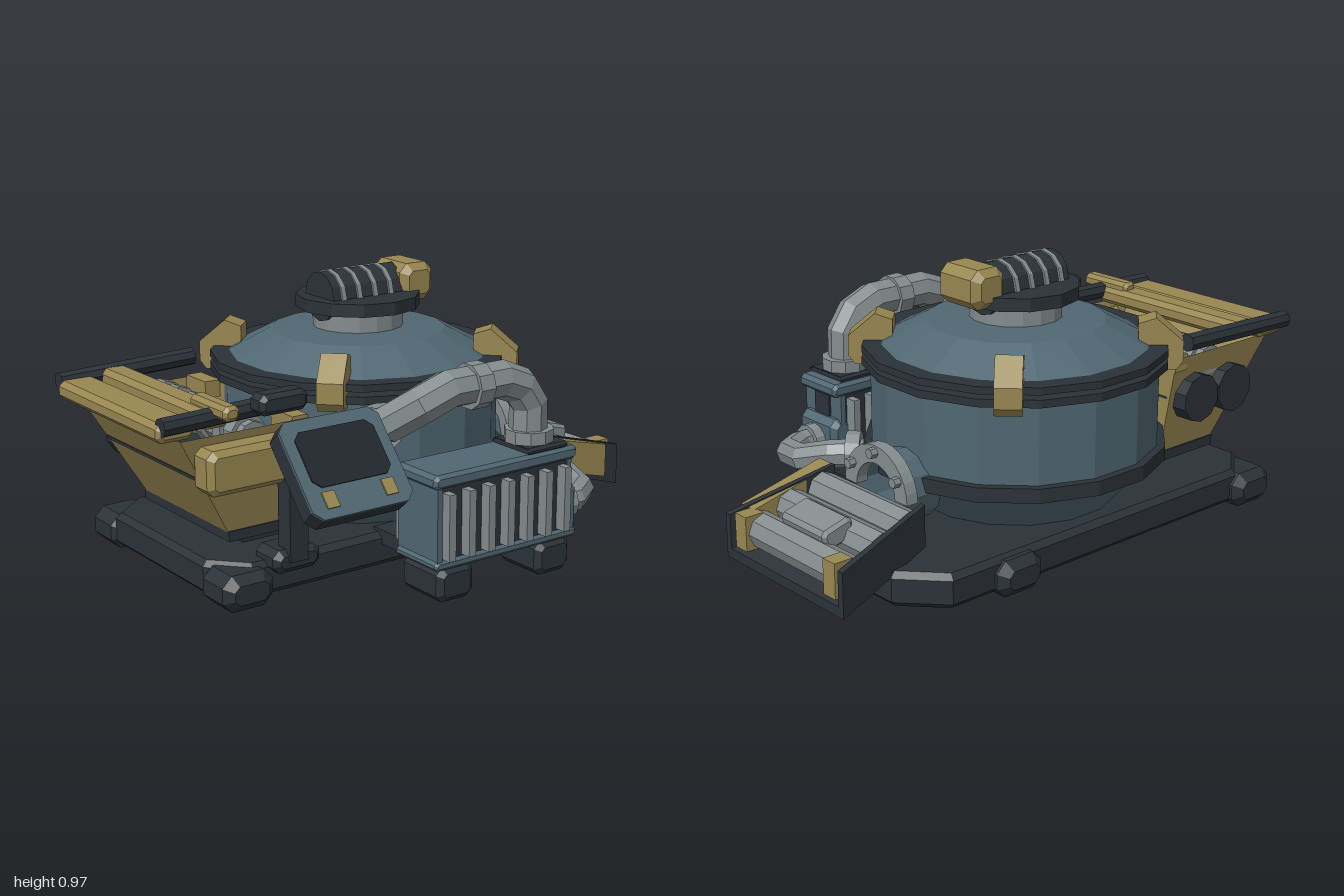
import * as THREE from 'three';

const mat = (name, color, side = THREE.FrontSide) => Object.assign(new THREE.MeshStandardMaterial({ color, side }), { name });

export function createModel() {
  const root = new THREE.Group();
  root.name = 'drillingMachine';
  const blue = mat('steelBlue', 0x506772, THREE.DoubleSide), gold = mat('ochre', 0x988751, THREE.DoubleSide),
    dark = mat('darkIron', 0x2b3238), grey = mat('pipeGrey', 0x848c8e), black = mat('screenBlack', 0x20272c);
  const CX = 0.01, CZ = -0.165; // tank axis
  const HALF = Math.PI / 2;

  // Faceted mesh
  const add = (name, geo, material, x = 0, y = 0, z = 0, parent = root) => {
    const g = geo.index ? geo.toNonIndexed() : geo;
    g.computeVertexNormals();
    const m = new THREE.Mesh(g, material);
    m.name = name;
    m.position.set(x, y, z);
    parent.add(m);
    return m;
  };
  const poly = pts => new THREE.Shape(pts.map(p => new THREE.Vector2(p[0], p[1])));
  const octagon = (a, b, k) => poly([[-a + k, -b], [a - k, -b], [a, -b + k], [a, b - k], [a - k, b], [-a + k, b], [-a, b - k], [-a, -b + k]]);
  // Box with all edges chamfered, centred
  const cbox = (w, h, d, c = 0.02) => new THREE.ExtrudeGeometry(octagon(w / 2 - c, h / 2 - c, c * 0.6),
    { depth: d - 2 * c, bevelEnabled: true, bevelSize: c, bevelThickness: c, bevelSegments: 1 }).translate(0, 0, -d / 2 + c);
  const box = (w, h, d) => new THREE.BoxGeometry(w, h, d);
  const cyl = (r, h, n = 12) => new THREE.CylinderGeometry(r, r, h, n);
  const cylX = (r, h, n) => cyl(r, h, n).rotateZ(HALF);
  const cylZ = (r, h, n) => cyl(r, h, n).rotateX(HALF);
  const lathe = (pts, n = 16) => new THREE.LatheGeometry(pts.map(p => new THREE.Vector2(p[0], p[1])), n).rotateY(Math.PI / n);
  // Segmented pipe with one ring at each point
  const tube = (pts, r) => {
    const curve = new THREE.CatmullRomCurve3(pts.map(p => new THREE.Vector3(...p)), false, 'centripetal');
    curve.getPointAt = curve.getPoint;
    curve.getTangentAt = curve.getTangent;
    return new THREE.TubeGeometry(curve, pts.length - 1, r, 8);
  };
  // Flange disc facing along a direction
  const disc = (name, r, h, material, pos, dir) => {
    const m = add(name, cyl(r, h), material, ...pos);
    m.quaternion.setFromUnitVectors(new THREE.Vector3(0, 1, 0), new THREE.Vector3(...dir).normalize());
  };

  // Base slab and feet
  const slab = poly([[-0.67, -0.57], [0.65, -0.57], [0.77, -0.44], [0.77, 0.1], [0.65, 0.23], [-0.7, 0.23], [-0.8, 0.12], [-0.8, -0.46]]);
  add('baseSlab', new THREE.ExtrudeGeometry(slab, { depth: 0.08, bevelEnabled: true, bevelSize: 0.02, bevelThickness: 0.02, bevelSegments: 1 })
    .rotateX(HALF), dark, 0, 0.12, 0);
  for (const x of [-0.74, 0.39]) for (const z of [-0.54, 0.21]) add('baseFoot', cbox(0.19, 0.125, 0.18, 0.03), dark, x, 0.0655, z);
  add('radiatorBridge', box(0.54, 0.05, 0.24), dark, 0.08, 0.125, 0.32);

  // Tank
  add('tankCone', lathe([[0, 0.13], [0.36, 0.14], [0.494, 0.29]]), blue, CX, 0, CZ);
  add('tankBody', lathe([[0.496, 0.29], [0.496, 0.62]]), blue, CX, 0, CZ);
  const ring = (name, r, y0, y1, material) =>
    add(name, lathe([[0, y0], [r, y0], [r, y1], [0, y1]]), material, CX, 0, CZ);
  ring('lowerBand', 0.525, 0.285, 0.335, dark);
  ring('lidFlangeLower', 0.525, 0.608, 0.635, dark);
  ring('lidSeal', 0.455, 0.635, 0.651, gold);
  ring('lidFlangeUpper', 0.525, 0.651, 0.676, dark);
  add('lid', lathe([[0.46, 0.675], [0.31, 0.755], [0.15, 0.765], [0, 0.765]]), blue, CX, 0, CZ);
  ring('neck', 0.16, 0.74, 0.84, grey);
  add('collar', cyl(0.22, 0.045), dark, CX, 0.855, CZ);

  // Clamps around the lid
  const clampShape = poly([[0.46, 0.59], [0.545, 0.59], [0.568, 0.62], [0.568, 0.69], [0.475, 0.77], [0.415, 0.75], [0.415, 0.7]]);
  for (let i = 0; i < 4; i++) {
    const m = add('lidClamp', new THREE.ExtrudeGeometry(clampShape, { depth: 0.09, bevelEnabled: false }).translate(0, 0, -0.045), gold, CX, 0, CZ);
    m.rotation.y = Math.PI / 4 + i * HALF;
  }

  // Motor on the lid
  add('motorCoil', cylX(0.088, 0.32, 12), dark, 0.01, 0.88, -0.17);
  for (let i = 0; i < 4; i++) add('motorRib', cylX(0.098, 0.018, 12), grey, -0.11 + i * 0.067, 0.875, -0.17);
  add('motorCap', cbox(0.14, 0.135, 0.2, 0.025), gold, 0.208, 0.905, CZ);

  // Radiator
  add('radiatorCore', box(0.54, 0.26, 0.2), dark, 0.05, 0.265, 0.505);
  add('radiatorTop', cbox(0.61, 0.05, 0.21, 0.012), blue, 0.06, 0.415, 0.505);
  add('radiatorBottom', cbox(0.61, 0.035, 0.22, 0.01), blue, 0.06, 0.135, 0.505);
  add('radiatorEnd', cbox(0.095, 0.19, 0.21), blue, 0.325, 0.21, 0.505);
  for (const x of [-0.225, 0.325]) add('radiatorFrame', box(0.02, 0.26, 0.21), blue, x, 0.265, 0.505);
  add('radiatorVent', box(0.008, 0.08, 0.085), dark, 0.338, 0.345, 0.505);
  for (let i = 0; i < 7; i++) add('radiatorFin', box(0.028, 0.225, 0.285), grey, -0.2 + i * 0.082, 0.27, 0.5025);
  for (const x of [-0.15, 0.27]) add('radiatorLeg', cbox(0.15, 0.12, 0.21), dark, x, 0.06, 0.505);

  // Large pipe from radiator to tank
  add('largePipe', tube([[0.225, 0.44, 0.51], [0.225, 0.59, 0.51], [0.18, 0.655, 0.51], [0.1, 0.688, 0.51], [-0.12, 0.688, 0.51],
    [-0.22, 0.65, 0.5], [-0.28, 0.585, 0.42], [-0.235, 0.53, 0.24]], 0.066), grey);
  add('pipeClamp', cylX(0.078, 0.06, 10), grey, -0.01, 0.685, 0.51);
  add('pipeFoot', cyl(0.085, 0.045, 10), grey, 0.23, 0.48, 0.51);
  add('pipeFootPlate', cbox(0.19, 0.025, 0.19, 0.01), dark, 0.235, 0.447, 0.51);
  disc('pipeFlange', 0.08, 0.06, grey, [-0.265, 0.54, 0.33], [-0.27, 0.08, 0.48]);

  // Small pipe from radiator end to tank
  add('smallPipe', tube([[0.35, 0.21, 0.51], [0.44, 0.21, 0.51], [0.52, 0.215, 0.46], [0.55, 0.235, 0.34], [0.5, 0.265, 0.24],
    [0.39, 0.275, 0.12]], 0.05), grey);
  disc('smallPipeFlange', 0.065, 0.04, grey, [0.39, 0.21, 0.51], [1, 0, 0]);
  disc('smallPipeFlange', 0.075, 0.05, grey, [0.44, 0.27, 0.19], [0.7, 0, 0.7]);

  // Side outlet with bolted arch flange
  add('outletPipe', new THREE.CylinderGeometry(0.125, 0.125, 0.16, 12, 1, true).rotateZ(HALF), blue, 0.53, 0.28, CZ);
  const flange = new THREE.Shape().absarc(0, 0, 0.162, 0, Math.PI).absarc(0, 0, 0.1, Math.PI, 0, true);
  add('outletFlange', new THREE.ExtrudeGeometry(flange, { depth: 0.045, bevelEnabled: false, curveSegments: 7 }).rotateY(HALF), grey, 0.58, 0.28, CZ);
  for (let i = 0; i < 3; i++) {
    const a = Math.PI / 6 + i * Math.PI / 3;
    add('outletBolt', cylX(0.018, 0.03, 6), grey, 0.635, 0.284 + Math.sin(a) * 0.135, CZ + Math.cos(a) * 0.135);
  }

  // Flared, sloping tray: u runs from -1 to 1 across its width
  const trayPiece = (name, pts, u0, u1) => {
    const g = new THREE.ExtrudeGeometry(poly(pts), { depth: u1 - u0, bevelEnabled: false }).translate(0, 0, u0);
    const p = g.attributes.position;
    for (let i = 0; i < p.count; i++) p.setZ(i, CZ + p.getZ(i) * (0.245 + (p.getX(i) - 0.62) * 0.18));
    add(name, g, dark);
  };
  const slope = x => 0.165 - (x - 0.62) * 0.276;
  trayPiece('trayFloor', [[0.62, 0.165], [1, 0.06], [1, 0.095], [0.62, 0.2]], -1, 1);
  const wall = [[0.62, 0.165], [1, 0.06], [1, 0.215], [0.62, 0.31]];
  trayPiece('trayWall', wall, -1, -0.92);
  trayPiece('trayWall', wall, 0.92, 1);
  // Straight filler panel outside the flared wall
  const panel = poly([[0.615, 0.185], [0.935, 0.1], [0.935, 0.228], [0.615, 0.305]]);
  add('trayPanel', new THREE.ExtrudeGeometry(panel, { depth: 0.075, bevelEnabled: false }), gold, 0, 0, 0.078);
  [0.67, 0.79, 0.925].forEach(x => add('trayRoller', cylZ(0.06, 0.46 + (x - 0.67) * 0.25, 8), grey, x, slope(x) + 0.085, CZ));
  add('trayBlock', cbox(0.12, 0.075, 0.235, 0.012), grey, 0.86, 0.235, CZ).rotation.z = -0.27;
  for (const z of [0.072, -0.402]) add('trayClip', box(0.07, 0.12, 0.06), gold, 0.96, 0.168, z);

  // Open hopper, narrowing toward the bottom (the top face is left out)
  const hopper = box(1, 1, 1), hp = hopper.attributes.position;
  for (let i = 0; i < hp.count; i++) {
    const top = hp.getY(i) > 0, left = hp.getX(i) < 0, back = hp.getZ(i) < 0;
    hp.setXYZ(i, left ? (top ? -0.93 : -0.71) : -0.45, top ? 0.58 : 0.2, back ? (top ? -0.49 : -0.42) : (top ? 0.2 : 0.12));
  }
  hopper.setIndex([...hopper.index.array].filter((_, i) => i < 12 || i > 17));
  add('hopper', hopper, gold);
  add('hopperKeel', box(0.3, 0.035, 0.56), dark, -0.57, 0.203, -0.15);
  add('hopperSupport', box(0.2, 0.07, 0.4), dark, -0.52, 0.16, -0.15);
  add('hopperFloor', box(0.4, 0.01, 0.6), dark, -0.65, 0.43, -0.15);
  add('hopperFrontBlock', cbox(0.37, 0.15, 0.11), gold, -0.69, 0.475, 0.225);
  for (const z of [-0.42, 0.13]) add('hopperCornerBlock', box(0.06, 0.06, 0.13), gold, -0.48, 0.56, z);
  for (const x of [-0.56, -0.735]) add('hopperDrum', cylZ(0.088, 0.11, 10), dark, x, 0.42, -0.46);

  // Hopper rails, rods and roller
  add('outerRail', cbox(0.135, 0.065, 0.69, 0.015), gold, -0.93, 0.607, CZ);
  add('innerRail', cbox(0.1, 0.065, 0.69, 0.015), gold, -0.785, 0.625, CZ);
  for (const z of [-0.52, 0.175]) add('sideRod', cylX(0.032, 0.52, 8), dark, -0.725, 0.637, z).rotation.z = 0.03;
  add('rollerShaft', cylZ(0.055, 0.64, 10), grey, -0.64, 0.535, -0.155);
  for (const z of [-0.42, -0.33, -0.21, -0.08, 0.04, 0.11]) add('rollerCollar', cylZ(0.07, 0.05, 10), grey, -0.64, 0.535, z);
  add('rollerCap', cbox(0.18, 0.07, 0.08, 0.015), dark, -0.59, 0.668, 0.24);
  add('railHandle', cbox(0.06, 0.05, 0.22, 0.012), gold, -0.78, 0.66, 0.16);

  // Control screen on its post
  add('postFoot', cbox(0.18, 0.08, 0.14), dark, -0.56, 0.14, 0.23);
  add('post', box(0.07, 0.42, 0.07), dark, -0.565, 0.35, 0.275);
  add('postArm', box(0.07, 0.06, 0.27), dark, -0.565, 0.53, 0.375);
  const consoleGroup = new THREE.Group();
  consoleGroup.name = 'console';
  consoleGroup.position.set(-0.56, 0.52, 0.545);
  consoleGroup.rotation.x = -0.72;
  root.add(consoleGroup);
  const plate = (a, b, k, d) => new THREE.ExtrudeGeometry(octagon(a, b, k), { depth: d, bevelEnabled: false });
  add('consoleBack', plate(0.187, 0.167, 0.03, 0.06), dark, 0, 0, -0.037, consoleGroup);
  add('consoleFrame', plate(0.187, 0.167, 0.03, 0.009), blue, 0, 0, 0.023, consoleGroup);
  add('consoleScreen', plate(0.147, 0.095, 0.025, 0.006), black, 0, 0.03, 0.03, consoleGroup);
  for (const x of [-0.11, 0.11]) add('consoleButton', box(0.045, 0.055, 0.008), gold, x, -0.108, 0.033, consoleGroup);
  return root;
}
